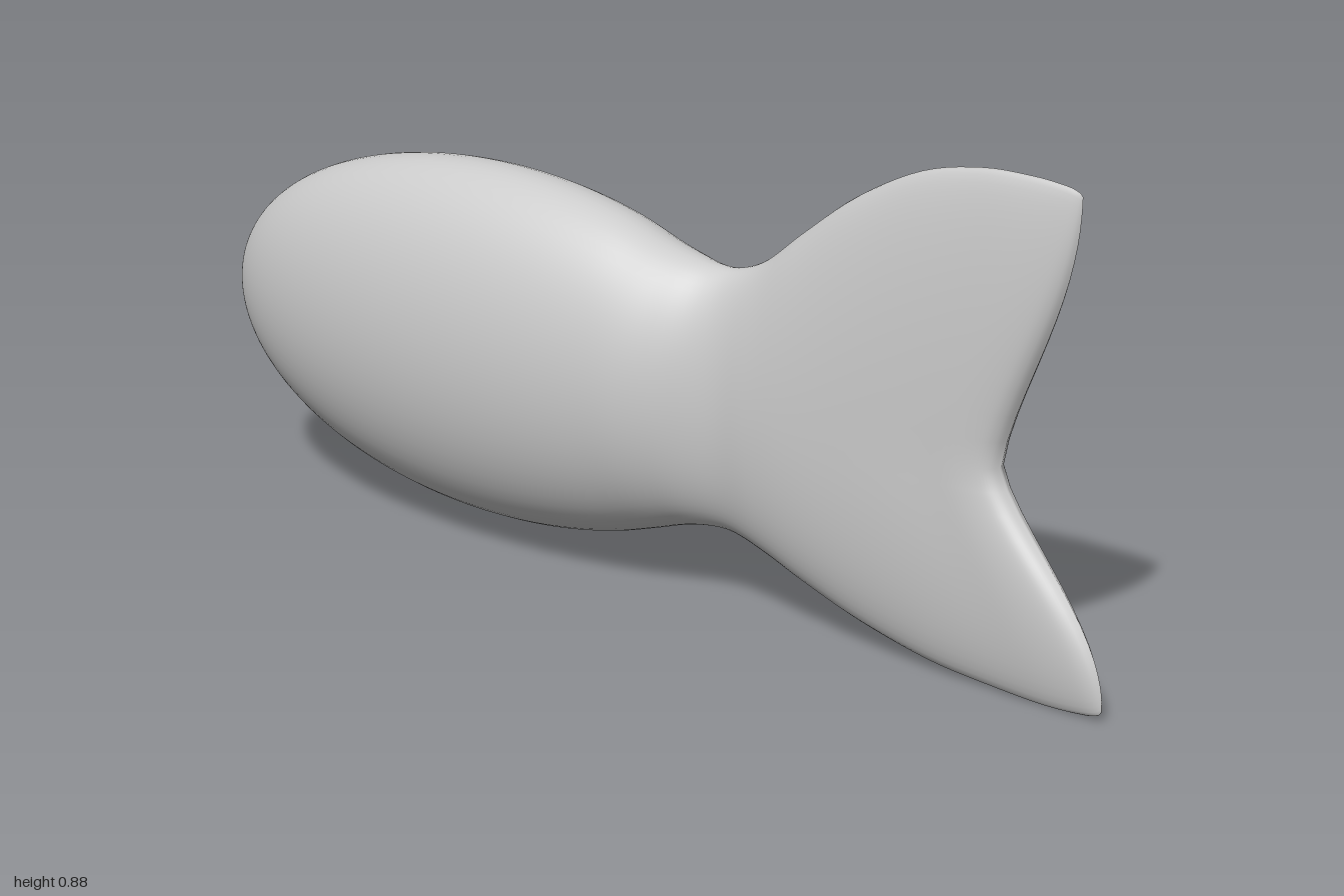
import * as THREE from 'three';
import { mergeVertices } from 'three/addons/utils/BufferGeometryUtils.js';

const SIDES = 64, STEPS = 5;

// Stations along the length: [midX, midY, topX, topY, bottomX, bottomY, halfDepth]
function makeStations() {
  const stations = [];
  // Ellipsoid body, from the nose to the start of the neck
  for (let i = 0; i <= 14; i++) {
    const a = (i / 14) * 2.2;
    const x = -0.34 - 0.66 * Math.cos(a), r = Math.sin(a);
    stations.push([x, 0.37, x, 0.37 + 0.325 * r, x, 0.37 - 0.325 * r, 0.177 * r]);
  }
  // Neck, then the fin spreading to its two tips
  stations.push(
    [0.12, 0.37, 0.12, 0.617, 0.12, 0.13, 0.118],
    [0.18, 0.37, 0.18, 0.609, 0.18, 0.14, 0.088],
    [0.23, 0.37, 0.23, 0.614, 0.23, 0.138, 0.073],
    [0.29, 0.37, 0.29, 0.641, 0.30, 0.117, 0.07],
    [0.36, 0.37, 0.37, 0.705, 0.38, 0.087, 0.067],
    [0.45, 0.375, 0.48, 0.785, 0.50, 0.048, 0.061],
    [0.55, 0.38, 0.61, 0.85, 0.65, 0.016, 0.054],
    [0.64, 0.382, 0.73, 0.877, 0.79, 0.004, 0.047],
    [0.71, 0.385, 0.83, 0.881, 0.89, 0.0, 0.042],
    [0.755, 0.385, 0.895, 0.877, 0.96, 0.004, 0.032],
    [0.776, 0.385, 0.921, 0.871, 0.99, 0.01, 0.018],
    [0.785, 0.385, 0.93, 0.864, 1.0, 0.02, 0]
  );
  return stations;
}

// Smooth interpolation of every station value
function sample(stations, t) {
  const last = stations.length - 1;
  const i = Math.min(Math.floor(t), last - 1), f = t - i;
  const at = k => stations[Math.max(0, Math.min(last, k))];
  return stations[i].map((p1, k) => {
    const p0 = at(i - 1)[k], p2 = at(i + 1)[k], p3 = at(i + 2)[k];
    return p1 + 0.5 * f * (p2 - p0 + f * (2 * p0 - 5 * p1 + 4 * p2 - p3 + f * (3 * (p1 - p2) + p3 - p0)));
  });
}

function loftGeometry() {
  const stations = makeStations();
  const rings = (stations.length - 1) * STEPS;
  const positions = [], index = [];
  for (let i = 0; i <= rings; i++) {
    const [mx, my, tx, ty, bx, by, depth] = sample(stations, i / STEPS);
    for (let j = 0; j < SIDES; j++) {
      const a = (j / SIDES) * Math.PI * 2, s = Math.cos(a), h = Math.abs(s);
      // Each ring sweeps back toward the tips, forming the notch
      const sweep = Math.pow(Math.sin(h * Math.PI / 2), 1.4);
      const [ex, ey] = s > 0 ? [tx, ty] : [bx, by];
      positions.push(mx + (ex - mx) * sweep, my + (ey - my) * h, depth * Math.sin(a));
      if (i < rings) {
        const p = i * SIDES + j, q = i * SIDES + (j + 1) % SIDES;
        index.push(p, q, p + SIDES, q, q + SIDES, p + SIDES);
      }
    }
  }
  const geometry = new THREE.BufferGeometry();
  geometry.setAttribute('position', new THREE.Float32BufferAttribute(positions, 3));
  geometry.setIndex(index);
  const merged = mergeVertices(geometry, 1e-5);
  merged.computeVertexNormals();
  return merged;
}

export function createModel() {
  const group = new THREE.Group();
  group.name = 'fish';
  const body = new THREE.Mesh(loftGeometry(), new THREE.MeshStandardMaterial({ color: 0xcccccc }));
  body.name = 'bodyAndTailFin';
  group.add(body);
  return group;
}
